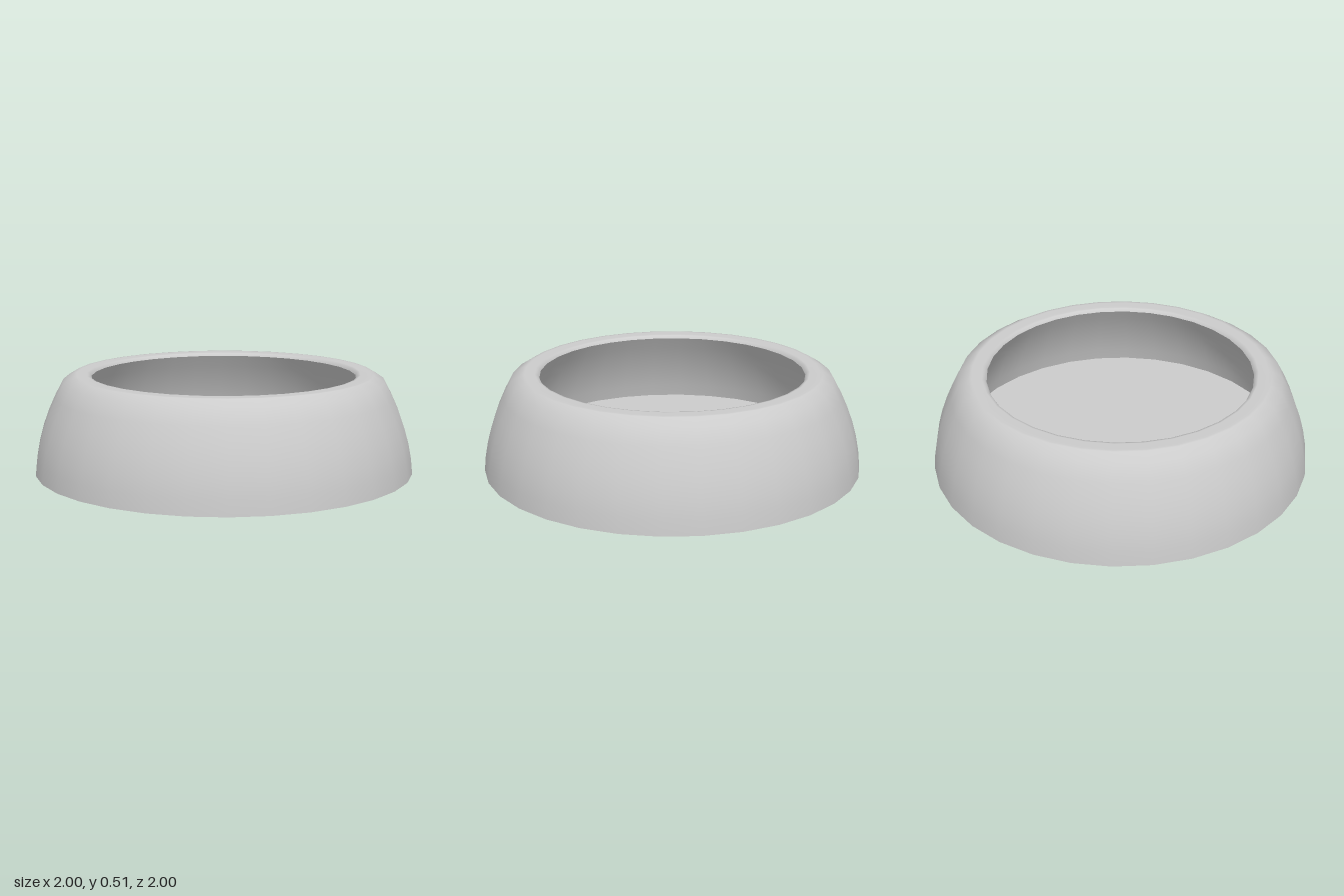
import * as THREE from 'three';

const SEGMENTS = 32;

// Radius of the bulging outer wall at a given height
const outerRadius = (y) => 1 - 0.062 * y - 0.543 * y * y;

export function createModel() {
  const group = new THREE.Group();
  group.name = 'bowl';
  const material = new THREE.MeshStandardMaterial({ color: 0xcccccc });

  // Each part is its own lathe so the edges between parts stay sharp.
  const addLathe = (name, profile) => {
    const points = profile.map(([r, y]) => new THREE.Vector2(r, y));
    const mesh = new THREE.Mesh(new THREE.LatheGeometry(points, SEGMENTS), material);
    mesh.name = name;
    group.add(mesh);
  };

  // Flat underside
  addLathe('base', [[0, 0], [1, 0]]);

  // Outer wall, running smoothly over the shoulder, the flat rim and its inner bevel
  const outer = [];
  for (let i = 0; i <= 6; i++) outer.push([outerRadius(0.08 * i), 0.08 * i]);
  addLathe('outerWall', [
    ...outer, [0.79, 0.513], [0.775, 0.513], [0.72, 0.513], [0.707, 0.511], [0.697, 0.495],
  ]);

  // Overhanging inner wall, following the outer curve from the rim down to the wider floor
  const floorY = 0.097, lipY = 0.495;
  const inner = [];
  for (let i = 0; i <= 6; i++) {
    const t = i / 6;
    const y = THREE.MathUtils.lerp(lipY, floorY, t);
    const thickness = THREE.MathUtils.lerp(outerRadius(lipY) - 0.697, 0.115, t);
    inner.push([outerRadius(y) - thickness, y]);
  }
  addLathe('innerWall', inner);

  // Flat dish floor
  addLathe('dishFloor', [inner[6], [0, floorY]]);

  return group;
}
